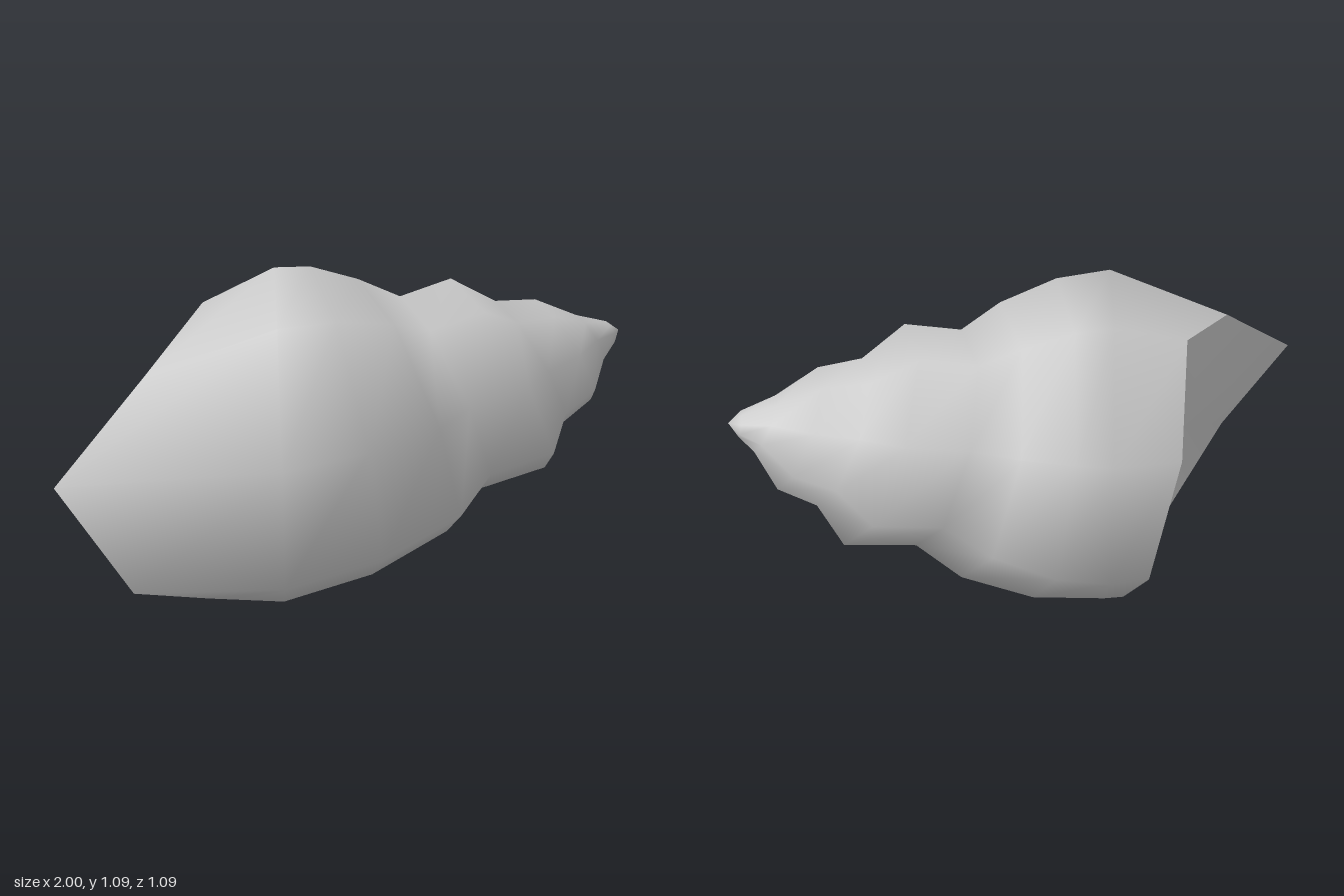
import * as THREE from 'three';

const SIDES = 8;
const TURN = 16.5 * Math.PI / 180;

// Whorl rings from apex to body: centre x, centre y, radius, lean in y, lean in z
const RINGS = [
  [0.965, 0.795, 0.042, 0.01, 0],
  [0.89, 0.785, 0.085, 0.05, 0],
  [0.79, 0.75, 0.188, 0.1, 0],
  [0.66, 0.715, 0.23, 0.115, 0],
  [0.55, 0.685, 0.35, 0.16, 0],
  [0.34, 0.64, 0.35, 0.13, 0],
  [0.2, 0.605, 0.455, 0.13, 0],
  [-0.02, 0.575, 0.54, 0.08, 0.05],
  [-0.24, 0.555, 0.567, 0, 0.13],
];

// Slanted lip of the mouth, drawn out to a pointed canal
const LIP = [
  [-1, 0.64, 0.3], [-0.69, 0.9, 0.15], [-0.45, 1.01, -0.14], [-0.34, 0.81, -0.49],
  [-0.25, 0.375, -0.528], [-0.25, 0.04, -0.26], [-0.53, 0.06, 0.14], [-0.8, 0.27, 0.36],
];

function ringPoints([cx, cy, r, leanY, leanZ]) {
  return Array.from({ length: SIDES }, (_, k) => {
    const a = TURN + k * Math.PI * 2 / SIDES;
    const s = Math.sin(a), c = Math.cos(a);
    return [cx - leanY * s - leanZ * c, cy + r * s, r * c];
  });
}

function makeGeometry(points, index) {
  const g = new THREE.BufferGeometry();
  g.setAttribute('position', new THREE.Float32BufferAttribute(points.flat(), 3));
  g.setIndex(index);
  g.computeVertexNormals();
  return g;
}

export function createModel() {
  const group = new THREE.Group();
  group.name = 'seashell';
  const shell = new THREE.MeshStandardMaterial({ color: 0xcccccc, side: THREE.DoubleSide });
  shell.name = 'shell grey';

  // Whorls: apex fan followed by bands between rings
  const rings = [...RINGS.map(ringPoints), LIP];
  const points = [[1, 0.803, 0], ...rings.flat()];
  const at = (i, k) => 1 + i * SIDES + (k % SIDES);
  const index = [];
  for (let k = 0; k < SIDES; k++) {
    index.push(0, at(0, k + 1), at(0, k));
    for (let i = 0; i < rings.length - 1; i++) {
      const a = at(i, k), b = at(i, k + 1), c = at(i + 1, k), d = at(i + 1, k + 1);
      index.push(a, b, c, b, d, c);
    }
  }
  const whorls = new THREE.Mesh(makeGeometry(points, index), shell);
  whorls.name = 'whorls';
  group.add(whorls);

  // Mouth: shallow hollow inside the lip
  const fan = [];
  for (let k = 0; k < SIDES; k++) fan.push(k, (k + 1) % SIDES, SIDES);
  const mouth = new THREE.Mesh(makeGeometry([...LIP, [-0.48, 0.53, 0.04]], fan), shell);
  mouth.name = 'mouth';
  group.add(mouth);

  return group;
}
